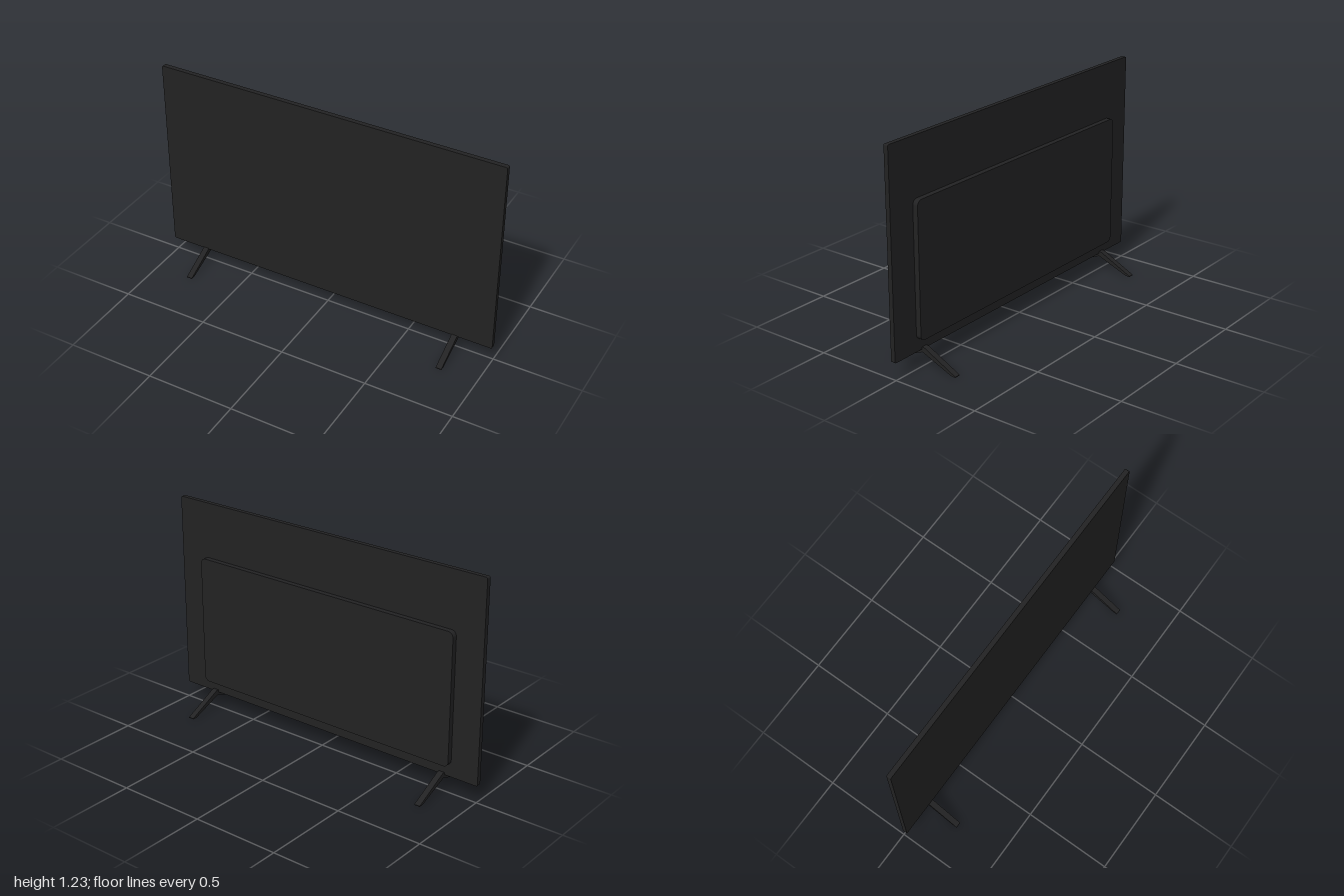
import * as THREE from 'three';

const frameMat = new THREE.MeshStandardMaterial({ color: 0x222223 });
frameMat.name = 'dark frame';
const screenMat = new THREE.MeshStandardMaterial({ color: 0x222222 });
screenMat.name = 'black screen';

// Upright slab with rounded corners, spanning z0 to z1
function slab(name, width, y0, y1, z0, z1, r, material) {
  const w = width / 2;
  const s = new THREE.Shape();
  s.moveTo(-w + r, y0);
  s.lineTo(w - r, y0);
  s.absarc(w - r, y0 + r, r, -Math.PI / 2, 0);
  s.absarc(w - r, y1 - r, r, 0, Math.PI / 2);
  s.absarc(-w + r, y1 - r, r, Math.PI / 2, Math.PI);
  s.absarc(-w + r, y0 + r, r, Math.PI, Math.PI * 1.5);
  const geo = new THREE.ExtrudeGeometry(s, { depth: z1 - z0, bevelEnabled: false, curveSegments: 6 });
  geo.translate(0, 0, z0);
  const mesh = new THREE.Mesh(geo, material);
  mesh.name = name;
  return mesh;
}

// Splayed V-shaped foot, profile in the z-y plane
function foot(name, x) {
  const width = 0.033;
  const profile = [
    [0.213, 0], [0.213, 0.004], [0.012, 0.105], [-0.012, 0.105], [-0.213, 0.004],
    [-0.213, 0], [-0.188, 0], [0, 0.077], [0.188, 0],
  ].map(([z, y]) => new THREE.Vector2(z, y));
  const geo = new THREE.ExtrudeGeometry(new THREE.Shape(profile), { depth: width, bevelEnabled: false });
  geo.translate(0, 0, -width / 2);
  geo.rotateY(-Math.PI / 2);
  const mesh = new THREE.Mesh(geo, frameMat);
  mesh.name = name;
  mesh.position.x = x;
  return mesh;
}

export function createModel() {
  const model = new THREE.Group();
  model.name = 'television';
  model.add(
    slab('panelFrame', 2, 0.092, 1.226, 0.003, 0.026, 0.008, frameMat),
    slab('screen', 2, 0.092, 1.226, 0.026, 0.029, 0.008, screenMat),
    slab('rearHousing', 1.676, 0.158, 0.907, -0.027, 0.003, 0.03, frameMat),
    foot('leftFoot', 0.783),
    foot('rightFoot', -0.783),
  );
  return model;
}
